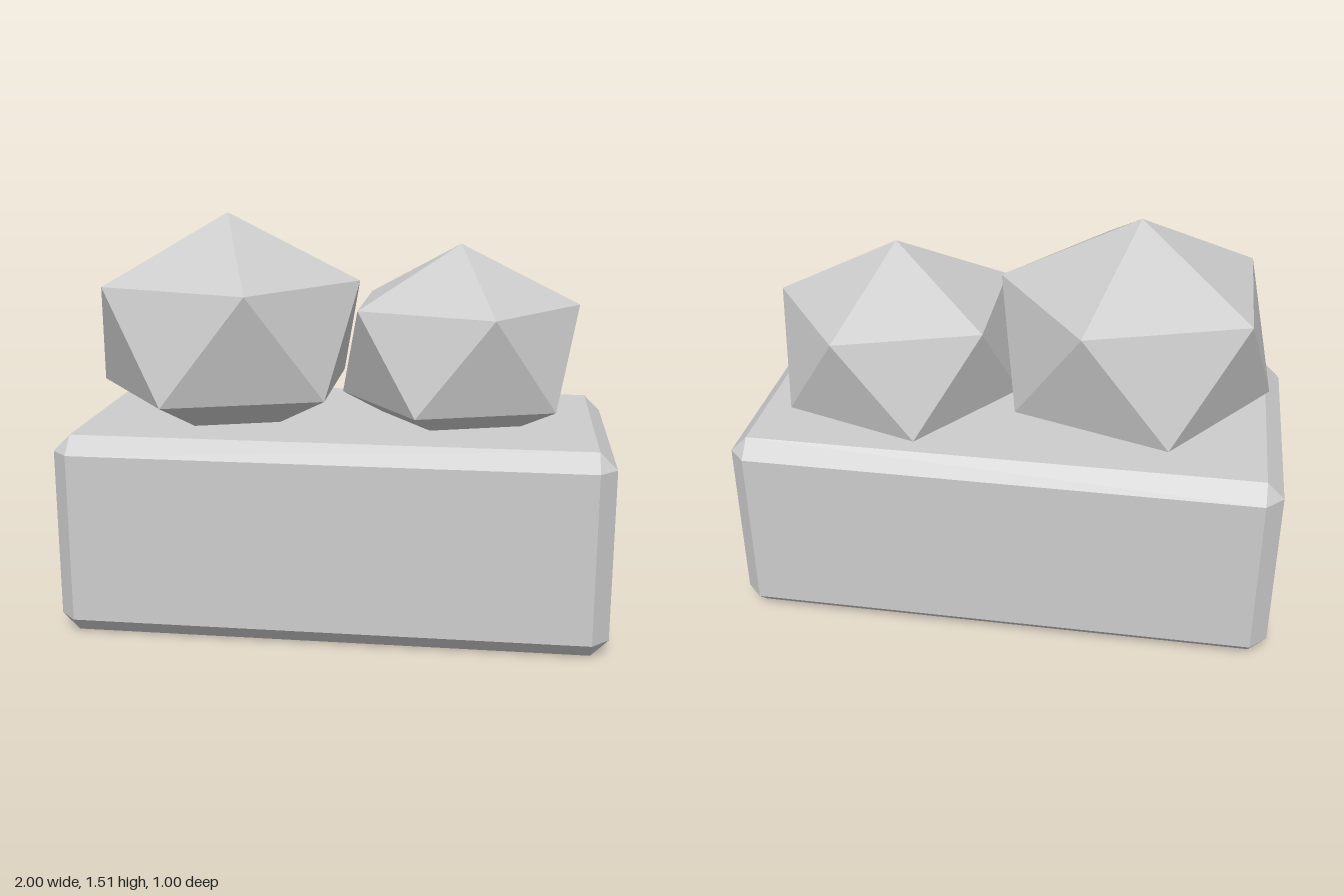
import * as THREE from 'three';
import { ConvexGeometry } from 'three/addons/geometries/ConvexGeometry.js';

const stone = new THREE.MeshStandardMaterial({ color: 0xcccccc });
stone.name = 'grey stone';

// Box with a flat chamfer on every edge and a triangle at every corner
function chamferedBox(w, h, d, c) {
  const points = [];
  for (const sx of [-1, 1]) for (const sy of [-1, 1]) for (const sz of [-1, 1]) {
    for (const [ix, iy, iz] of [[0, c, c], [c, 0, c], [c, c, 0]]) {
      points.push(new THREE.Vector3(sx * (w / 2 - ix), sy * (h / 2 - iy), sz * (d / 2 - iz)));
    }
  }
  return new ConvexGeometry(points);
}

// Icosahedron standing on a point: two poles and two staggered rings of five
function boulder(ringRadius, halfHeight) {
  const points = [new THREE.Vector3(0, halfHeight, 0), new THREE.Vector3(0, -halfHeight, 0)];
  const ringY = halfHeight / Math.sqrt(5);
  for (let i = 0; i < 10; i++) {
    const a = (i * Math.PI) / 5;
    points.push(new THREE.Vector3(
      ringRadius * Math.cos(a), i % 2 ? -ringY : ringY, ringRadius * Math.sin(a)));
  }
  return new ConvexGeometry(points);
}

export function createModel() {
  const model = new THREE.Group();
  model.name = 'planter';
  const add = (name, geometry, x, y, z) => {
    const mesh = new THREE.Mesh(geometry, stone);
    mesh.name = name;
    mesh.position.set(x, y, z);
    model.add(mesh);
  };

  // Block at the base
  add('base', chamferedBox(2, 0.75, 1, 0.0625), 0, 0.375, 0);

  // Faceted boulders sunk into its top
  add('largeBoulder', boulder(0.5, 0.448), -0.4375, 1.064, 0);
  add('smallBoulder', boulder(0.445, 0.398), 0.435, 1.002, -0.0625);

  return model;
}
